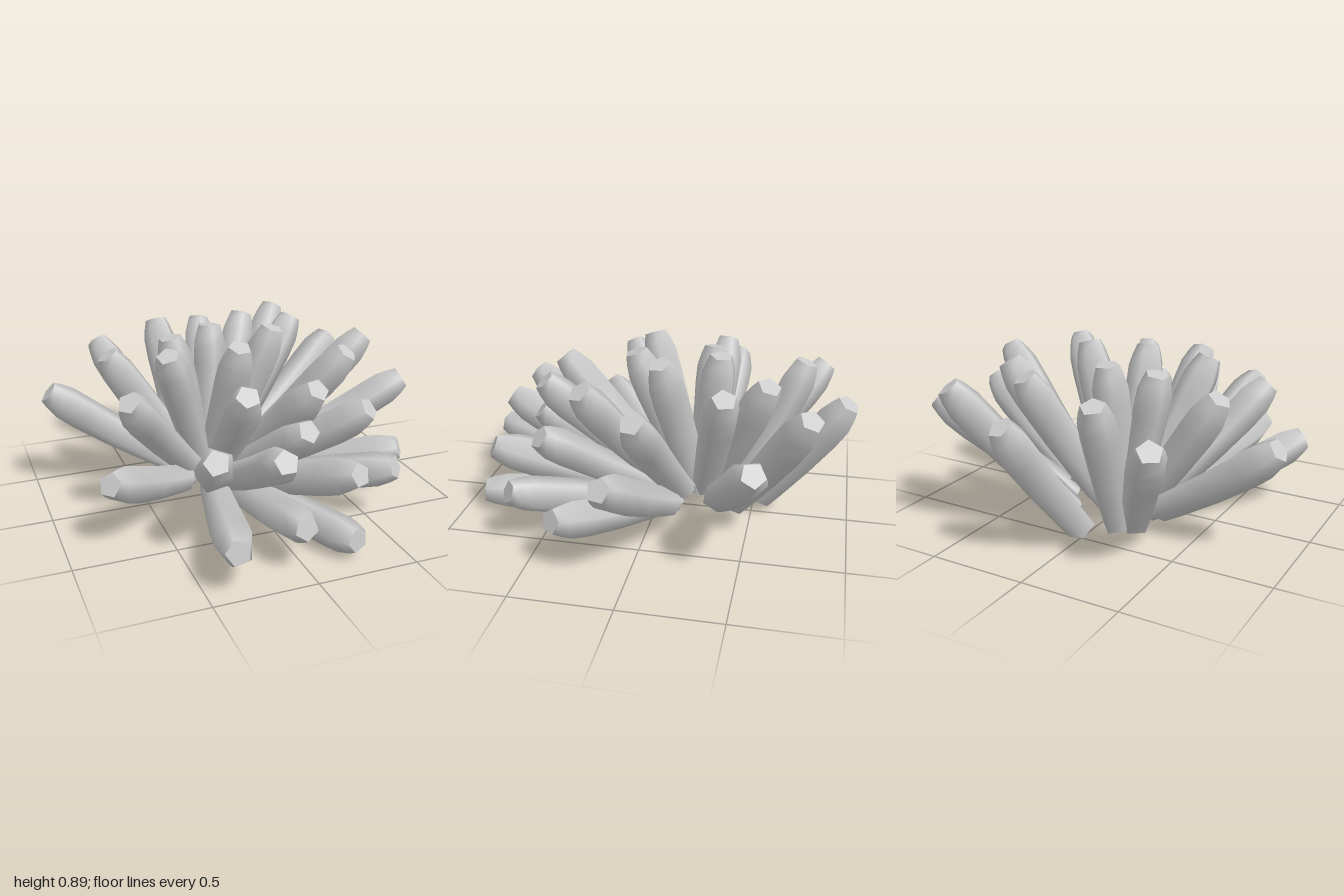
import * as THREE from 'three';

const SIDES = 5;
const CENTRE = new THREE.Vector3(-0.1, 0.06, -0.22);

// tip points of the tentacles [x, y, z], grouped by tier; the rear ones also give their root
const TIPS = [
  // upright inner tier
  [-0.05, 0.83, -0.31], [-0.28, 0.8, -0.25], [-0.39, 0.82, 0.09], [-0.04, 0.83, 0.12], [0.2, 0.86, -0.05],
  [0.23, 0.8, -0.57], [0.45, 0.81, -0.39], [0.46, 0.8, 0.27],
  // second tier
  [-0.6, 0.74, -0.27], [-0.63, 0.68, 0.26], [-0.16, 0.74, 0.53], [0.18, 0.73, 0.53], [0.71, 0.78, -0.03],
  // rear tier
  [-0.22, 0.77, -0.72, -0.16, 0.1, -0.42], [0.51, 0.77, -0.78, 0.1, 0.12, -0.42],
  [-0.54, 0.66, -0.81, -0.23, 0.1, -0.36], [0.1, 0.69, -0.94, -0.03, 0.1, -0.54],
  // spreading tier
  [0.77, 0.62, -0.56], [0.9, 0.55, 0.07], [0.49, 0.57, 0.46], [0.12, 0.55, 0.57], [-0.09, 0.53, 0.8],
  [-0.39, 0.56, 0.76], [-0.9, 0.57, -0.31],
  // low tier
  [-0.77, 0.37, 0.42], [-0.37, 0.24, 0.96], [-0.03, 0.25, 0.89], [0.28, 0.4, 0.78], [0.24, 0.12, 0.86],
  [0.57, 0.31, 0.6], [0.74, 0.28, 0.34],
];

// [position along the tentacle, radius]
const BODY = [[0, 0.073], [0.15, 0.078], [0.45, 0.087], [0.75, 0.094], [0.89, 0.092], [0.98, 0.076], [1.03, 0.06]];
const NECK = [[-0.07, 0.05], [0.06, 0.05]];

// pentagonal tube swept along a curve with smooth sides, optionally closed by a flat cap
function sweep(curve, profile, twist, capped) {
  const pos = [], index = [];
  const centre = new THREE.Vector3();
  for (const [t, r] of profile) {
    const u = THREE.MathUtils.clamp(t, 0, 1);
    const dir = curve.getTangent(u);
    centre.copy(curve.getPoint(u)).addScaledVector(dir, t - u);
    const ref = Math.abs(dir.y) > 0.97 ? new THREE.Vector3(0, 0, 1) : new THREE.Vector3(0, 1, 0);
    const a = new THREE.Vector3().crossVectors(ref, dir).normalize();
    const b = new THREE.Vector3().crossVectors(dir, a);
    for (let i = 0; i < SIDES; i++) {
      const ang = twist + (i / SIDES) * Math.PI * 2;
      const v = centre.clone().addScaledVector(a, Math.cos(ang) * r).addScaledVector(b, Math.sin(ang) * r);
      pos.push(v.x, v.y, v.z);
    }
  }
  const last = (profile.length - 1) * SIDES;
  for (let j = 0; j < last; j += SIDES) {
    for (let i = 0; i < SIDES; i++) {
      const k = (i + 1) % SIDES, hi = j + SIDES;
      index.push(j + i, j + k, hi + k, j + i, hi + k, hi + i);
    }
  }
  if (capped) {
    // repeat the last ring so the cap keeps a sharp edge
    const ring = last + SIDES;
    pos.push(...pos.slice(last * 3), centre.x, centre.y, centre.z);
    for (let i = 0; i < SIDES; i++) index.push(ring + i, ring + ((i + 1) % SIDES), ring + SIDES);
  }
  const geo = new THREE.BufferGeometry();
  geo.setAttribute('position', new THREE.Float32BufferAttribute(pos, 3));
  geo.setIndex(index);
  geo.computeVertexNormals();
  return geo;
}

// roots lie between the centre and the tip, dropped a little towards the ground
function rootOf(tip) {
  const arm = tip.clone().sub(CENTRE);
  const f = tip.y < 0.45 ? 0.27 : Math.max(0.12, 1 - 0.72 / arm.length());
  arm.y *= 0.65;
  const root = arm.multiplyScalar(f).add(CENTRE);
  root.y = Math.max(root.y, 0.11);
  return root;
}

export function createModel() {
  const model = new THREE.Group();
  model.name = 'tentacleCluster';
  const mat = new THREE.MeshStandardMaterial({ color: 0xcccccc, side: THREE.DoubleSide });

  TIPS.forEach(([x, y, z, ...rear], n) => {
    const tip = new THREE.Vector3(x, y, z);
    const root = rear.length ? new THREE.Vector3(...rear) : rootOf(tip);
    // gentle upward bend
    const mid = root.clone().lerp(tip, 0.55);
    mid.y -= 0.03;
    const curve = new THREE.QuadraticBezierCurve3(root, mid, tip);

    const tentacle = new THREE.Group();
    tentacle.name = 'tentacle' + (n + 1);
    const twist = Math.PI / 2 + (n % 3) * 0.3;
    const body = new THREE.Mesh(sweep(curve, BODY, twist, true), mat);
    body.name = 'tentacleBody';
    tentacle.add(body);
    // the rear tentacles end without a neck
    if (!rear.length) {
      const neck = new THREE.Mesh(sweep(curve, NECK, twist, false), mat);
      neck.name = 'tentacleNeck';
      tentacle.add(neck);
    }
    model.add(tentacle);
  });
  return model;
}
